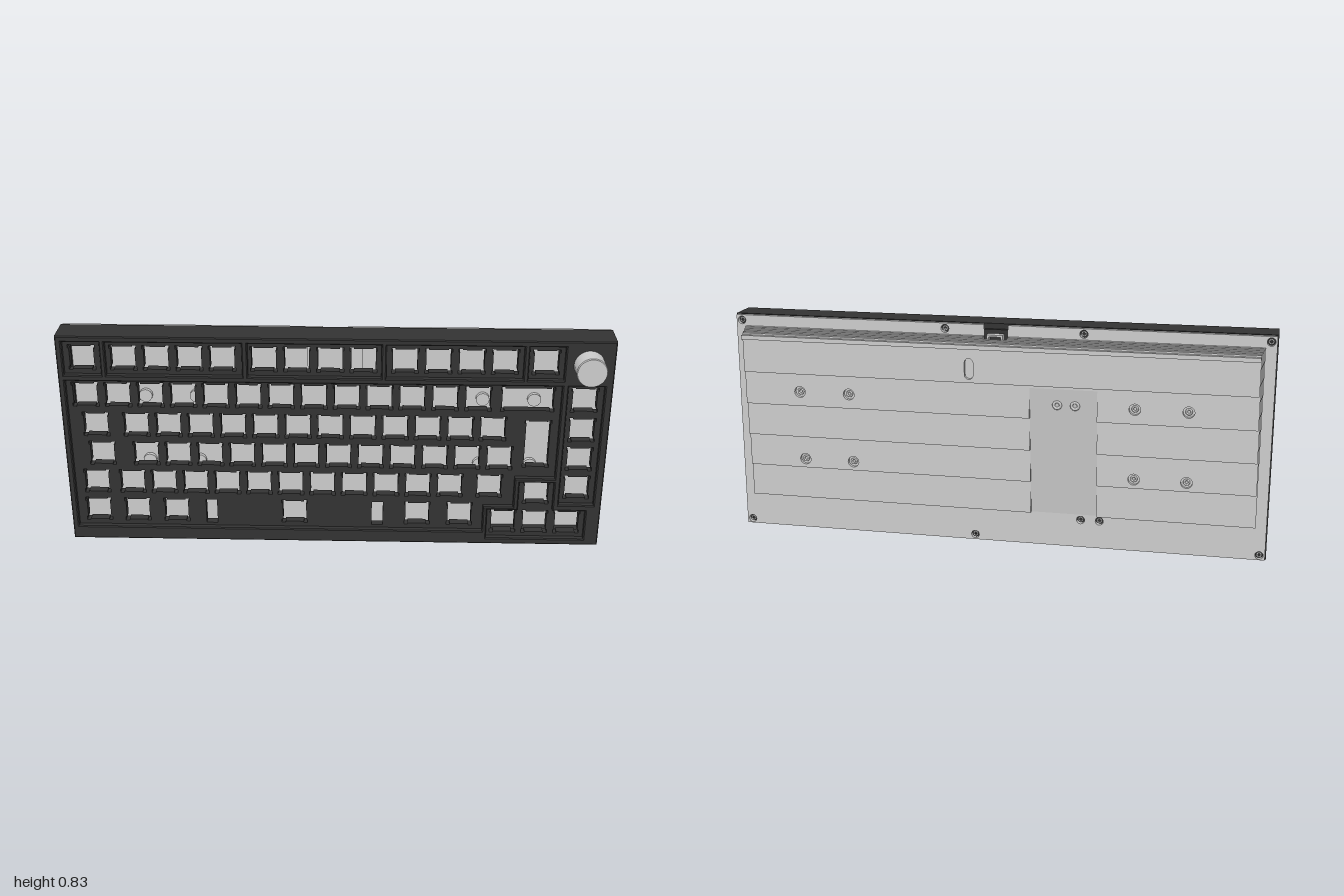
import * as THREE from 'three';

export function createModel() {
  const model = new THREE.Group();
  const black = new THREE.MeshStandardMaterial({ color: 0x333333 });
  const grey = new THREE.MeshStandardMaterial({ color: 0xcccccc });
  const H = 0.835, U = 0.1195;

  const add = (name, geo, mat) => {
    const mesh = new THREE.Mesh(geo, mat);
    mesh.name = name;
    model.add(mesh);
    return mesh;
  };
  const points = (pts) => pts.map(([x, y]) => new THREE.Vector2(x, y));
  const rect = (x0, y0, x1, y1) => [[x0, y0], [x1, y0], [x1, y1], [x0, y1]];
  const shapeOf = (outline, holes = []) => {
    const s = new THREE.Shape(points(outline));
    for (const h of holes) s.holes.push(h.isPath ? h.path : new THREE.Path(points(h)));
    return s;
  };
  const circle = (x, y, r) => ({ isPath: true, path: new THREE.Path().absarc(x, y, r, 0, Math.PI * 2, true) });
  const slab = (name, shape, zBack, zFront, mat, bevel = 0) => {
    const geo = new THREE.ExtrudeGeometry(shape, {
      depth: zFront - zBack - 2 * bevel, curveSegments: 8, bevelEnabled: bevel > 0,
      bevelThickness: bevel, bevelSize: bevel, bevelOffset: -bevel, bevelSegments: 1,
    });
    geo.translate(0, 0, zBack + bevel);
    return add(name, geo, mat);
  };

  // switch cutout: a square with small ears at the corners
  const cutout = (x, y, w = 0.098, h = 0.098) => {
    const a = w / 2, b = h / 2, e = 0.014, i = 0.005;
    return [
      [-a, -b], [-a + e, -b], [-a + e, -b + i], [a - e, -b + i], [a - e, -b], [a, -b],
      [a, -b + e], [a - i, -b + e], [a - i, b - e], [a, b - e], [a, b],
      [a - e, b], [a - e, b - i], [-a + e, b - i], [-a + e, b], [-a, b],
      [-a, b - e], [-a + i, b - e], [-a + i, -b + e], [-a, -b + e],
    ].map(([px, py]) => [x + px, y + py]);
  };

  // rows of cutouts, each start given in key units from the first column
  const cuts = [];
  const run = (y, start, count) => {
    for (let k = 0; k < count; k++) cuts.push(cutout(-0.912 + (start + k) * U, y));
  };
  run(0.746, 0, 1);
  for (const start of [1.25, 5.5, 9.75]) run(0.746, start, 4);
  run(0.746, 13.97, 1);
  run(0.599, 0, 13);
  run(0.478, 0.25, 1);
  run(0.478, 1.5, 12);
  run(0.358, 0.375, 1);
  run(0.358, 1.75, 12);
  run(0.239, 0.125, 1);
  run(0.239, 1.25, 11);
  for (const [x, y] of [[0.58, 0.239], [-0.9, 0.118], [-0.751, 0.118], [-0.602, 0.118], [-0.152, 0.118],
    [0.313, 0.118], [0.473, 0.118], [0.757, 0.214], [0.639, 0.088], [0.759, 0.088], [0.88, 0.088]]) cuts.push(cutout(x, y));
  for (const y of [0.599, 0.478, 0.358, 0.239]) cuts.push(cutout(0.906, y));
  cuts.push(cutout(0.701, 0.599, 0.195), cutout(0.746, 0.418, 0.098, 0.195));
  for (const x of [-0.468, 0.162]) cuts.push(rect(x - 0.021, 0.064, x + 0.021, 0.164));

  // case: side walls, switch plate and raised bezel
  const outer = rect(-1, 0, 1, H);
  slab('caseWalls', shapeOf(outer, [rect(-0.968, 0.02, 0.968, 0.815)]), -0.043, 0.02, black);
  slab('switchPlate', shapeOf(outer, cuts), 0.02, 0.052, black);
  const openings = [
    ...[[-0.978, -0.842], [-0.824, -0.332], [-0.312, 0.168], [0.186, 0.676], [0.694, 0.822]]
      .map(([a, b]) => rect(a, 0.683, b, 0.813)),
    [[-0.978, 0.053], [0.56, 0.053], [0.56, 0.16], [0.672, 0.16], [0.672, 0.283], [0.82, 0.283], [0.82, 0.661], [-0.978, 0.661]],
    rect(0.841, 0.172, 0.972, 0.661),
    [[0.576, 0.025], [0.945, 0.025], [0.945, 0.148], [0.82, 0.148], [0.82, 0.266], [0.69, 0.266], [0.69, 0.148], [0.576, 0.148]],
  ];
  slab('bezel', shapeOf(outer, openings), 0.042, 0.074, black, 0.004);

  // rotary knob
  const knob = add('knob', new THREE.LatheGeometry(points([
    [0, 0.06], [0.049, 0.06], [0.049, 0.078], [0.055, 0.078], [0.055, 0.078], [0.055, 0.146], [0.055, 0.146],
    [0.052, 0.15], [0.052, 0.15], [0, 0.15],
  ]), 40), grey);
  knob.rotation.x = Math.PI / 2;
  knob.position.set(0.906, 0.748, 0);

  // bottom cover with screw holes and a notch for the port
  const coverScrews = [[0.975, 0.022], [-0.975, 0.022], [0.975, 0.812], [-0.975, 0.812],
    [0.08, 0.024], [0.19, 0.812], [-0.32, 0.812], [-0.32, 0.11], [-0.39, 0.11]];
  const cover = [[-0.996, 0.004], [0.996, 0.004], [0.996, H - 0.003], [0.045, H - 0.003],
    [0.045, 0.765], [-0.045, 0.765], [-0.045, H - 0.003], [-0.996, H - 0.003]];
  slab('coverPlate', shapeOf(cover, coverScrews.map(([x, y]) => circle(x, y, 0.015))), -0.0585, -0.04, grey);

  // stepped wedge layers, each notched for the sloping panel
  const footScrews = [0.735, 0.545, -0.515, -0.705];
  const zs = [-0.0585, -0.074, -0.0875, -0.103, -0.118, -0.133];
  for (let i = 0; i < 5; i++) {
    const w = 0.957 - i * 0.003, bottom = 0.131 + i * 0.125, top = 0.791 - i * 0.003;
    const outline = [[-w, bottom]];
    if (i < 4) outline.push([-0.38, bottom], [-0.38, 0.62], [-0.135, 0.62], [-0.135, bottom]);
    outline.push([w, bottom], [w, top]);
    if (i < 2) outline.push([0.045, top], [0.045, 0.765], [-0.045, 0.765], [-0.045, top]);
    outline.push([-w, top]);
    const holes = [];
    if (i === 1) for (const x of footScrews) holes.push(circle(x, 0.29, 0.021));
    if (i === 3) for (const x of footScrews) holes.push(circle(x, 0.56, 0.021));
    if (i === 4) {
      const slot = new THREE.Path();
      slot.absarc(0.085, 0.705, 0.016, 0, Math.PI, false);
      slot.absarc(0.085, 0.66, 0.016, Math.PI, Math.PI * 2, false);
      holes.push({ isPath: true, path: slot });
    }
    slab('wedgeLayer' + (i + 1), shapeOf(outline, holes), zs[i + 1], zs[i], grey);
  }

  // sloping panel set into the steps
  const slope = new THREE.ExtrudeGeometry(shapeOf([[0.05, 0.131], [0.05, 0.62], [0.118, 0.62], [0.0585, 0.131]]),
    { depth: 0.245, bevelEnabled: false });
  slope.rotateY(Math.PI / 2);
  slope.translate(-0.38, 0, 0);
  add('slopingPanel', slope, grey);

  // thin lip along the rear edge
  const lip = new THREE.BoxGeometry(1.888, 0.016, 0.018);
  lip.translate(0, 0.765, -0.14);
  add('rearLip', lip, grey);

  // screw heads: small rings sunk in their holes
  const screw = (x, y, z, r = 0.013) => {
    const ring = add('screw', new THREE.TorusGeometry(r * 0.7, r * 0.3, 6, 16), grey);
    ring.position.set(x, y, z);
  };
  for (const [x, y] of coverScrews) screw(x, y, -0.05, 0.011);
  for (const x of footScrews) {
    screw(x, 0.29, -0.078);
    screw(x, 0.56, -0.107);
  }
  for (const x of [-0.235, -0.3]) screw(x, 0.56, -0.111, 0.018);

  // port: dark socket inside the notch
  const port = slab('portSocket', shapeOf(rect(-0.03, 0.765, 0.03, 0.8), [rect(-0.022, 0.772, 0.022, 0.793)]), -0.084, -0.03, grey);
  port.name = 'portSocket';
  const core = new THREE.BoxGeometry(0.09, 0.05, 0.02);
  core.translate(0, 0.79, -0.045);
  add('portBoard', core, black);

  // low bosses and a port housing on the inner floor
  for (const x of footScrews) for (const y of [0.29, 0.56]) {
    const boss = add('innerBoss', new THREE.CylinderGeometry(0.025, 0.025, 0.02, 16), grey);
    boss.rotation.x = Math.PI / 2;
    boss.position.set(x, y, -0.035);
  }
  const housing = new THREE.BoxGeometry(0.2, 0.1, 0.03);
  housing.translate(0, 0.72, -0.03);
  add('portHousing', housing, grey);

  return model;
}
